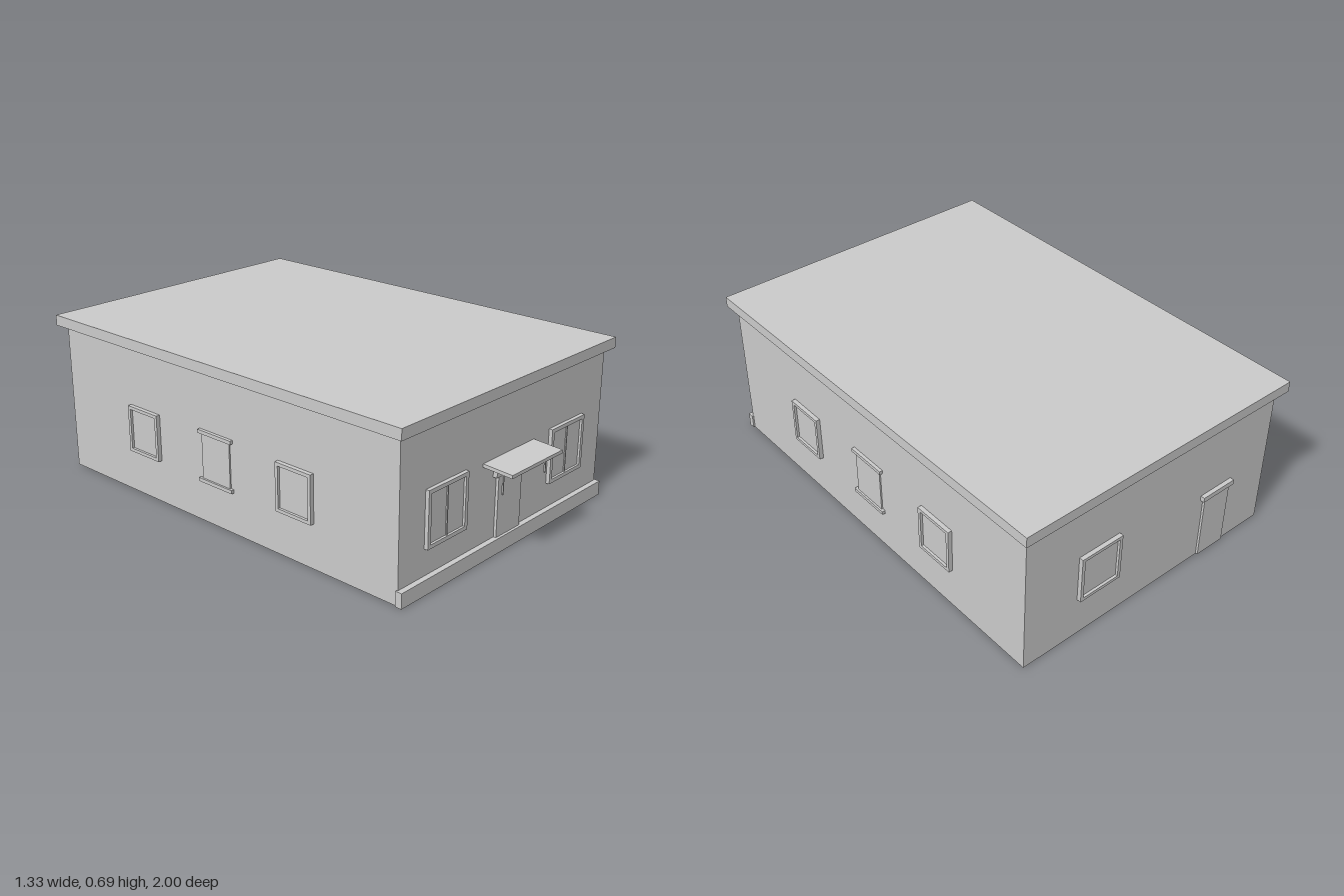
import * as THREE from 'three';

const material = new THREE.MeshStandardMaterial({ color: 0xcccccc, flatShading: true });

// Box given by its extents on each axis
function box(name, [x0, x1], [y0, y1], [z0, z1]) {
  const mesh = new THREE.Mesh(new THREE.BoxGeometry(x1 - x0, y1 - y0, z1 - z0), material);
  mesh.name = name;
  mesh.position.set((x0 + x1) / 2, (y0 + y1) / 2, (z0 + z1) / 2);
  return mesh;
}

// Window facing +z, centred on its own origin, with its back on z = 0
function framedWindow(name, w, h, border, depth, mullion) {
  const group = new THREE.Group();
  group.name = name;
  const rect = (T, a, b) => new T([
    new THREE.Vector2(-a, -b), new THREE.Vector2(a, -b),
    new THREE.Vector2(a, b), new THREE.Vector2(-a, b)]);
  const shape = rect(THREE.Shape, w / 2, h / 2);
  shape.holes.push(rect(THREE.Path, w / 2 - border, h / 2 - border));
  const frame = new THREE.Mesh(
    new THREE.ExtrudeGeometry(shape, { depth, bevelEnabled: false }), material);
  frame.name = 'windowFrame';
  group.add(frame);
  const a = w / 2 - border, b = h / 2 - border;
  group.add(box('windowPane', [-a, a], [-b, b], [0, depth * 0.4]));
  if (mullion) group.add(box('windowMullion', [-0.003, 0.003], [-b, b], [0, depth * 0.7]));
  return group;
}

// Flat panel held between a lintel and a sill, facing +z
function shutteredWindow(name) {
  const group = new THREE.Group();
  group.name = name;
  group.add(
    box('panel', [-0.078, 0.078], [-0.1, 0.1], [0, 0.006]),
    box('lintel', [-0.093, 0.093], [0.095, 0.11], [0, 0.014]),
    box('sill', [-0.093, 0.093], [-0.11, -0.095], [0, 0.014]));
  return group;
}

export function createModel() {
  const model = new THREE.Group();
  model.name = 'building';

  // Main volumes
  model.add(
    box('walls', [-0.635, 0.635], [0, 0.64], [-0.965, 0.87]),
    box('roofSlab', [-0.667, 0.667], [0.64, 0.685], [-1, 0.9]),
    box('frontPlinth', [-0.642, 0.642], [0, 0.062], [0.865, 0.893]));

  // Front door
  model.add(
    box('frontDoor', [-0.075, 0.075], [0.03, 0.315], [0.86, 0.882]),
    box('frontDoorLintel', [-0.095, 0.095], [0.315, 0.338], [0.86, 0.888]));

  // Canopy, sloping down towards the front, with two hanging rods
  const canopy = box('canopy', [-0.162, 0.162], [0.371, 0.387], [0.868, 1]);
  canopy.geometry.applyMatrix4(
    new THREE.Matrix4().makeShear(0, 0, 0, 0, 0, -0.04));
  const p = canopy.geometry.attributes.position;
  for (let i = 0; i < p.count; i++) p.setY(i, Math.sign(p.getY(i)) * 0.007 - p.getZ(i) * 0.06);
  p.needsUpdate = true;
  canopy.geometry.computeVertexNormals();
  canopy.position.y = 0.379;
  model.add(canopy);

  for (const s of [-1, 1]) {
    model.add(box('canopyRod', [s * 0.136 - 0.003, s * 0.136 + 0.003], [0.28, 0.376], [0.94, 0.946]));

    // Front windows
    const front = framedWindow('frontWindow', 0.228, 0.23, 0.016, 0.016, true);
    front.position.set(s * 0.38, 0.285, 0.87);
    model.add(front);

    // Side windows
    for (const z of [0.38, -0.473]) {
      const side = framedWindow('sideWindow', 0.18, 0.2, 0.014, 0.018, false);
      side.position.set(s * 0.635, 0.285, z);
      side.rotation.y = s * Math.PI / 2;
      model.add(side);
    }
    const middle = shutteredWindow('middleSideWindow');
    middle.position.set(s * 0.635, 0.285, -0.047);
    middle.rotation.y = s * Math.PI / 2;
    model.add(middle);
  }

  // Back window and door
  const back = framedWindow('backWindow', 0.2, 0.21, 0.014, 0.018, false);
  back.position.set(0.28, 0.285, -0.965);
  back.rotation.y = Math.PI;
  model.add(back);
  model.add(
    box('backDoor', [-0.417, -0.278], [0.005, 0.292], [-0.975, -0.96]),
    box('backDoorLintel', [-0.432, -0.263], [0.292, 0.314], [-0.983, -0.96]));

  return model;
}
